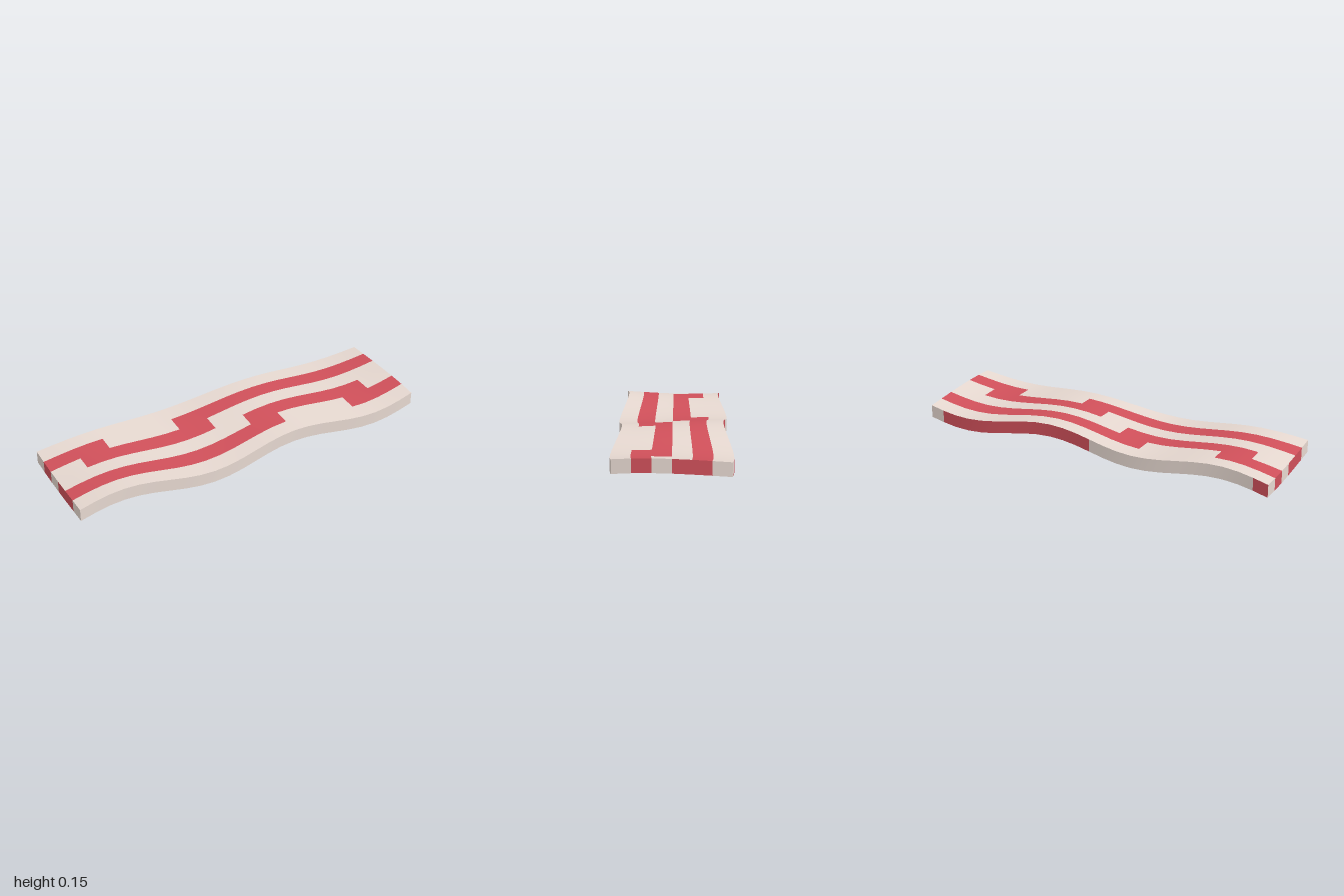
import * as THREE from 'three';

const COLS = 24, ROWS = 6, THICK = 0.07;
const TAU = Math.PI * 2;

// Underside height and half width of the wavy strip (v runs -1 back to 1 front)
const halfWidth = x => 0.282 - 0.017 * Math.sin(TAU * x);
const height = (x, v) => 0.0405 + 0.026 * Math.sin(TAU * x) + 0.0128 * x
  + 0.009 * x * (1 - v * v)
  - 0.0105 * Math.cos(2.3 * x) * Math.sin(1.5 * v);

// Stepped stripes on the broad faces, by row from back to front
const within = (x, a, b) => x > a / 12 && x < b / 12;
const stripeRows = [
  () => false,
  x => !within(x, -8, -3),
  x => within(x, -10, -1),
  x => within(x, 1, 10),
  x => !within(x, 3, 8),
  () => false,
];

function isStripe(x, y, v) {
  const row = Math.min(ROWS - 1, Math.floor((v + 1) * ROWS / 2));
  if (x > 0.999) return [1, 2, 4].includes(row);      // end at +x
  if (x < -0.999) return [1, 3, 4].includes(row);     // end at -x
  if (v > 0.999) return false;                        // front edge
  if (v < -0.999) return within(x, 0, 11) || x < -11 / 12; // back edge
  return stripeRows[row](x);
}

export function createModel() {
  const group = new THREE.Group();
  group.name = 'wavyStrip';
  const slab = new THREE.BoxGeometry(2, 1, 2, COLS, 1, ROWS);
  const pos = slab.attributes.position;

  // Sort the quads of the flat slab by colour
  const plain = [], stripes = [];
  const index = Array.from(slab.index.array);
  for (let i = 0; i < index.length; i += 6) {
    const quad = index.slice(i, i + 6);
    const mean = get => quad.reduce((s, k) => s + get(k), 0) / 6;
    const red = isStripe(mean(k => pos.getX(k)), mean(k => pos.getY(k)), mean(k => pos.getZ(k)));
    (red ? stripes : plain).push(...quad);
  }

  // Bend the slab into its waves
  for (let i = 0; i < pos.count; i++) {
    const x = pos.getX(i), v = pos.getZ(i);
    pos.setXYZ(i, x, height(x, v) + (pos.getY(i) + 0.5) * THICK, v * halfWidth(x));
  }
  slab.computeVertexNormals();
  slab.computeBoundingBox();
  slab.translate(0, -slab.boundingBox.min.y, 0);

  const addPart = (name, indices, color) => {
    const geometry = new THREE.BufferGeometry();
    for (const key of ['position', 'normal', 'uv']) geometry.setAttribute(key, slab.attributes[key].clone());
    geometry.setIndex(indices);
    const mesh = new THREE.Mesh(geometry.toNonIndexed(), new THREE.MeshStandardMaterial({ color }));
    mesh.name = name;
    group.add(mesh);
  };
  addPart('paleStrip', plain, 0xe6d8d0);
  addPart('redStripes', stripes, 0xd0505a);
  return group;
}
